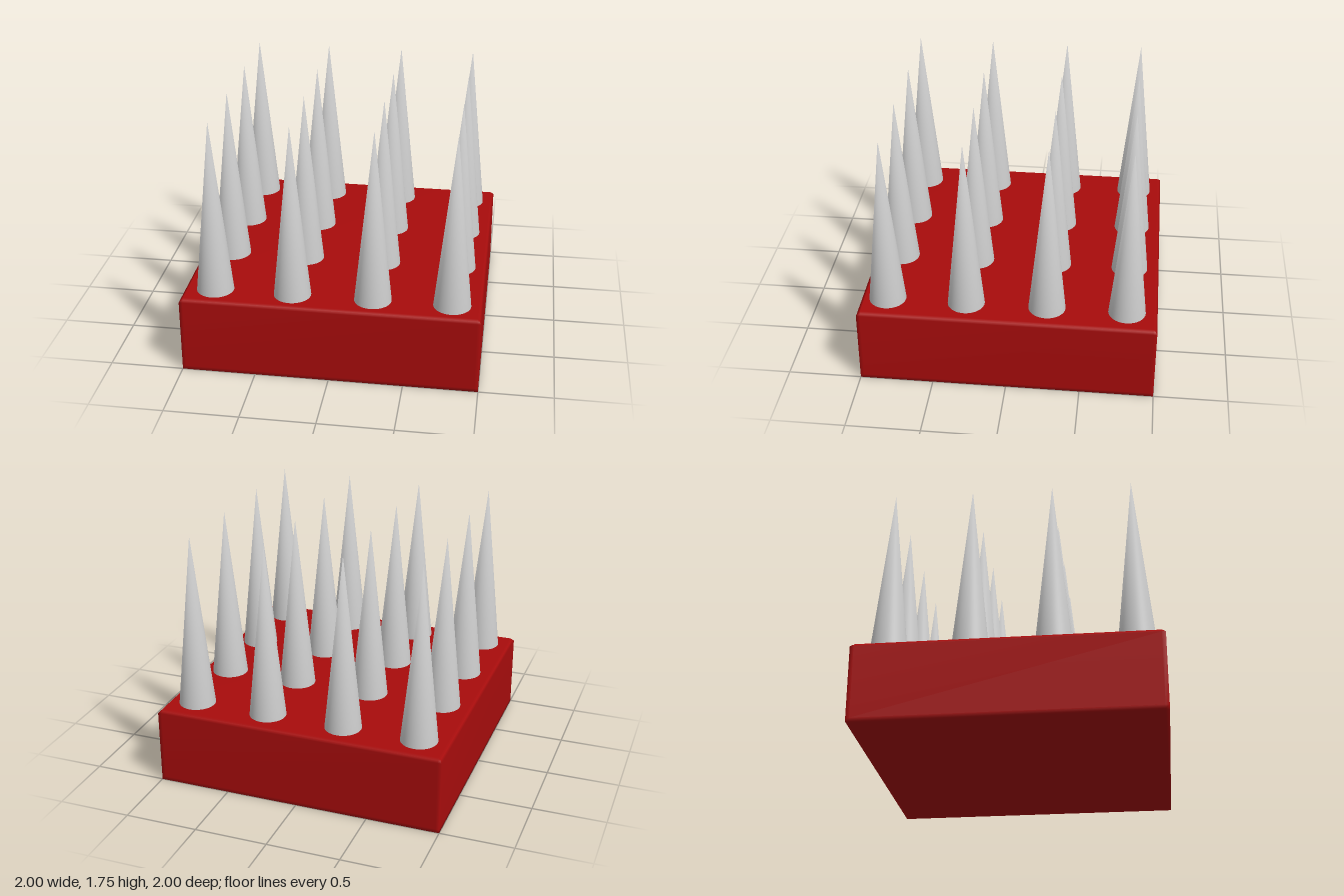
import * as THREE from 'three';
import { mergeVertices } from 'three/addons/utils/BufferGeometryUtils.js';

const H = 0.54; // height of the block

// Weld all shared corners so the shading runs smoothly across every edge
function smooth(geometry) {
  geometry.deleteAttribute('uv');
  geometry.deleteAttribute('normal');
  const welded = mergeVertices(geometry, 1e-4);
  welded.computeVertexNormals();
  return welded;
}

// Square block: narrow support loops beside each edge, softened top rim
function blockGeometry() {
  const geo = new THREE.BoxGeometry(3, 3, 3, 3, 3, 3);
  const p = geo.attributes.position;
  const loop = 0.025, soft = 0.012;
  const place = (v, half) => Math.sign(v) * (Math.abs(v) > 1 ? half : half - loop);
  for (let i = 0; i < p.count; i++) {
    const top = p.getY(i) > 1;
    const outerX = Math.abs(p.getX(i)) > 1, outerZ = Math.abs(p.getZ(i)) > 1;
    let x = place(p.getX(i), 1), y = place(p.getY(i), H / 2), z = place(p.getZ(i), 1);
    if (top && outerX) x -= Math.sign(x) * soft;
    if (top && outerZ) z -= Math.sign(z) * soft;
    if (top && (outerX || outerZ)) y -= soft;
    p.setXYZ(i, x, y + H / 2, z);
  }
  return smooth(geo);
}

export function createModel() {
  const model = new THREE.Group();
  model.name = 'spikeBlock';

  const red = new THREE.MeshStandardMaterial({ color: 0xa80c0c });
  const grey = new THREE.MeshStandardMaterial({ color: 0xcccccc });

  const block = new THREE.Mesh(blockGeometry(), red);
  block.name = 'block';
  model.add(block);

  // Four by four spikes standing on the block
  const spikeHeight = 1.205;
  const spikeGeo = smooth(new THREE.ConeGeometry(0.125, spikeHeight, 48, 1, true));
  const spikes = new THREE.Group();
  spikes.name = 'spikes';
  for (const x of [-0.79, -0.265, 0.275, 0.8]) {
    for (const z of [-0.795, -0.26, 0.285, 0.82]) {
      const spike = new THREE.Mesh(spikeGeo, grey);
      spike.name = 'spike';
      spike.position.set(x, H + spikeHeight / 2, z);
      spikes.add(spike);
    }
  }
  model.add(spikes);
  return model;
}
